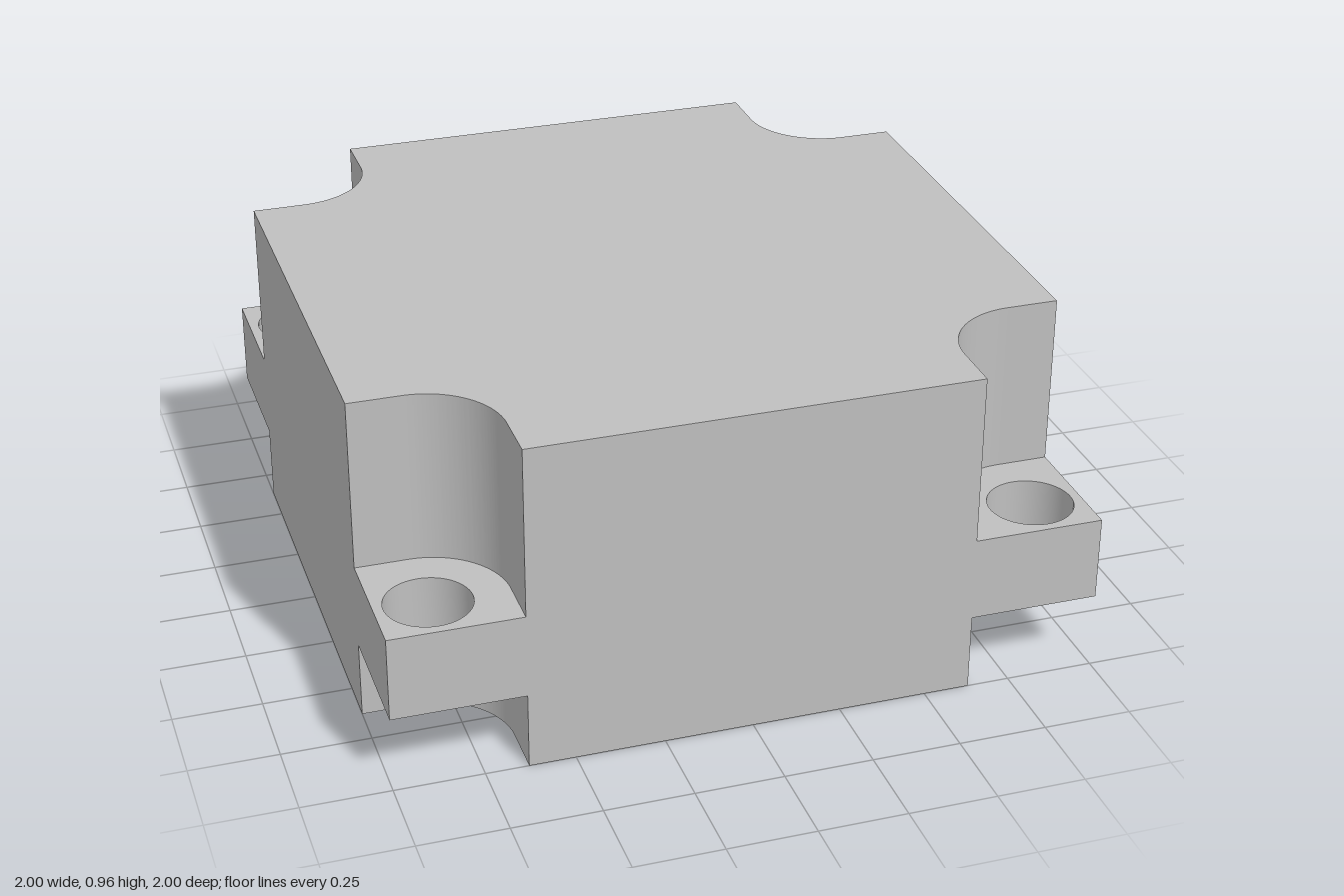
import * as THREE from 'three';
import { toCreasedNormals } from 'three/addons/utils/BufferGeometryUtils.js';

const TOP = 0.96, NOTCH = 0.63, HOLE = 0.853, TAB_LOW = 0.222, TAB_HIGH = 0.466;
const RECESS_R = 0.84, FILLET = 0.15;

// Square outline with a rounded notch cut out of every corner
function notchedSquare() {
  const shape = new THREE.Shape();
  const r = HOLE - NOTCH;
  for (let i = 0; i < 4; i++) {
    const a = i * Math.PI / 2, c = Math.cos(a), s = Math.sin(a);
    const at = (x, y) => [x * c - y * s, x * s + y * c];
    if (i === 0) shape.moveTo(...at(1, NOTCH));
    else shape.lineTo(...at(1, NOTCH));
    shape.lineTo(...at(HOLE, NOTCH));
    shape.absarc(...at(HOLE, HOLE), r, a - Math.PI / 2, a - Math.PI, true);
    shape.lineTo(...at(NOTCH, 1));
  }
  shape.closePath();
  return shape;
}

function circleHole(x, y, r) {
  return new THREE.Path().absarc(x, y, r, 0, Math.PI * 2, true);
}

// Upright extrusion of a plan shape between two heights
function slab(shape, y0, y1) {
  const geo = new THREE.ExtrudeGeometry(shape, { depth: y1 - y0, bevelEnabled: false, curveSegments: 32 });
  geo.rotateX(-Math.PI / 2).translate(0, y0, 0);
  return toCreasedNormals(geo, 0.6);
}

export function createModel() {
  const group = new THREE.Group();
  const grey = new THREE.MeshStandardMaterial({ color: 0xbfbfbf });
  grey.name = 'plain grey';
  const add = (name, geo) => {
    const mesh = new THREE.Mesh(geo, grey);
    mesh.name = name;
    group.add(mesh);
    return mesh;
  };

  // Main block; its underside is the ceiling of the recess
  add('body', slab(notchedSquare(), FILLET, TOP));

  // Lower rim around the round recess
  const rim = notchedSquare();
  rim.holes.push(circleHole(0, 0, RECESS_R));
  add('baseRim', slab(rim, 0, FILLET));

  // Curved wall of the recess
  const profile = [];
  for (let i = 0; i <= 12; i++) {
    const t = (1 - i / 12) * Math.PI / 2;
    profile.push(new THREE.Vector2(RECESS_R - FILLET + FILLET * Math.cos(t), FILLET * Math.sin(t)));
  }
  add('recessWall', new THREE.LatheGeometry(profile, 96));

  // Drilled mounting tab in each corner
  const tab = new THREE.Shape();
  tab.moveTo(NOTCH, NOTCH).lineTo(1, NOTCH).lineTo(1, 1).lineTo(NOTCH, 1).closePath();
  tab.holes.push(circleHole(HOLE, HOLE, 0.12));
  const tabGeo = slab(tab, TAB_LOW, TAB_HIGH);
  for (let i = 0; i < 4; i++) add('mountingTab' + (i + 1), tabGeo).rotation.y = i * Math.PI / 2;

  return group;
}
